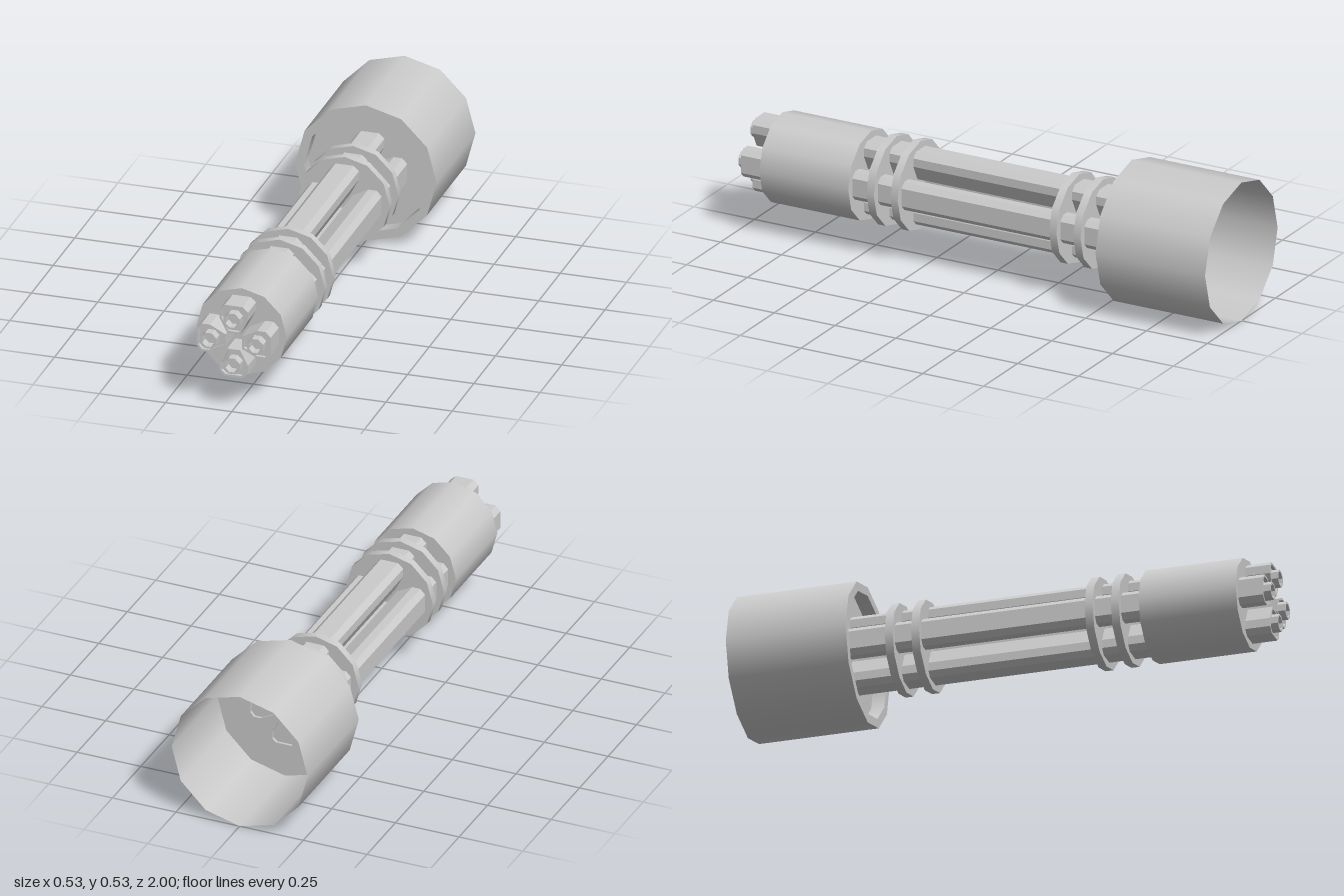
import * as THREE from 'three';

const AXIS_Y = 0.267;
const SIDES = 12;

export function createModel() {
  const model = new THREE.Group();
  model.name = 'rotaryBarrelAssembly';
  const material = new THREE.MeshStandardMaterial({ color: 0xcccccc });
  const thin = new THREE.MeshStandardMaterial({ color: 0xcccccc, side: THREE.DoubleSide });

  // Everything is laid out around the z axis, then lifted
  const assembly = new THREE.Group();
  assembly.name = 'assembly';
  assembly.position.y = AXIS_Y;
  model.add(assembly);

  const add = (parent, name, geometry, mat = material) => {
    const mesh = new THREE.Mesh(geometry, mat);
    mesh.name = name;
    parent.add(mesh);
    return mesh;
  };

  // Twelve-sided drum lying along z
  const drum = (radius, z0, z1, open = false) =>
    new THREE.CylinderGeometry(radius, radius, z1 - z0, SIDES, 1, open)
      .rotateX(Math.PI / 2)
      .translate(0, 0, (z0 + z1) / 2);

  // Straight prism along z
  const prism = (shape, z0, z1) =>
    new THREE.ExtrudeGeometry(shape, { depth: z1 - z0, bevelEnabled: false }).translate(0, 0, z0);

  // Rear housing: open at the back, shallow recess in front
  const housing = new THREE.Group();
  housing.name = 'rearHousing';
  assembly.add(housing);
  add(housing, 'housingShell', drum(0.267, -1, -0.55, true), thin);
  add(housing, 'housingRim', new THREE.RingGeometry(0.233, 0.267, SIDES).translate(0, 0, -0.55), thin);
  add(housing, 'recessWall', drum(0.233, -0.6, -0.55, true), thin);
  add(housing, 'bulkhead', new THREE.CircleGeometry(0.267, SIDES).translate(0, 0, -0.6), thin);

  // Front collar and clamp plates
  add(assembly, 'frontCollar', drum(0.17, 0.52, 0.885));
  [0.43, 0.332, -0.32, -0.419].forEach((z) => add(assembly, 'clampPlate', drum(0.17, z - 0.015, z + 0.015)));

  // Barrel outlines, given as the right half of a symmetric section
  const section = (half) => {
    const left = half.map(([x, y]) => [-x, y]).reverse();
    return [...half, ...left].map(([x, y]) => new THREE.Vector2(x, y));
  };
  const outer = section([[0.024, 0.031], [0.054, 0.089], [0.054, 0.121], [0.034, 0.14]]);
  const inner = section([[0.019, 0.039], [0.046, 0.091], [0.046, 0.118], [0.03, 0.132]]);
  const octagon = (radius) =>
    Array.from({ length: 8 }, (_, i) => {
      const a = ((i + 0.5) * Math.PI) / 4;
      return new THREE.Vector2(radius * Math.cos(a), 0.088 + radius * Math.sin(a));
    });

  const casing = new THREE.Shape(outer);
  casing.holes.push(new THREE.Path(inner));
  const tube = new THREE.Shape(octagon(0.033));
  tube.holes.push(new THREE.Path(octagon(0.025)));
  const casingGeometry = prism(casing, -0.61, 0.978);
  const plugGeometry = prism(new THREE.Shape(inner), 0.9, 0.965);
  const muzzleGeometry = prism(tube, 0.96, 1);

  // Four barrels around the axis
  for (let i = 0; i < 4; i++) {
    const barrel = new THREE.Group();
    barrel.name = 'barrel';
    barrel.rotation.z = (i * Math.PI) / 2;
    add(barrel, 'barrelCasing', casingGeometry);
    add(barrel, 'barrelPlug', plugGeometry);
    add(barrel, 'muzzle', muzzleGeometry);
    assembly.add(barrel);
  }

  return model;
}
